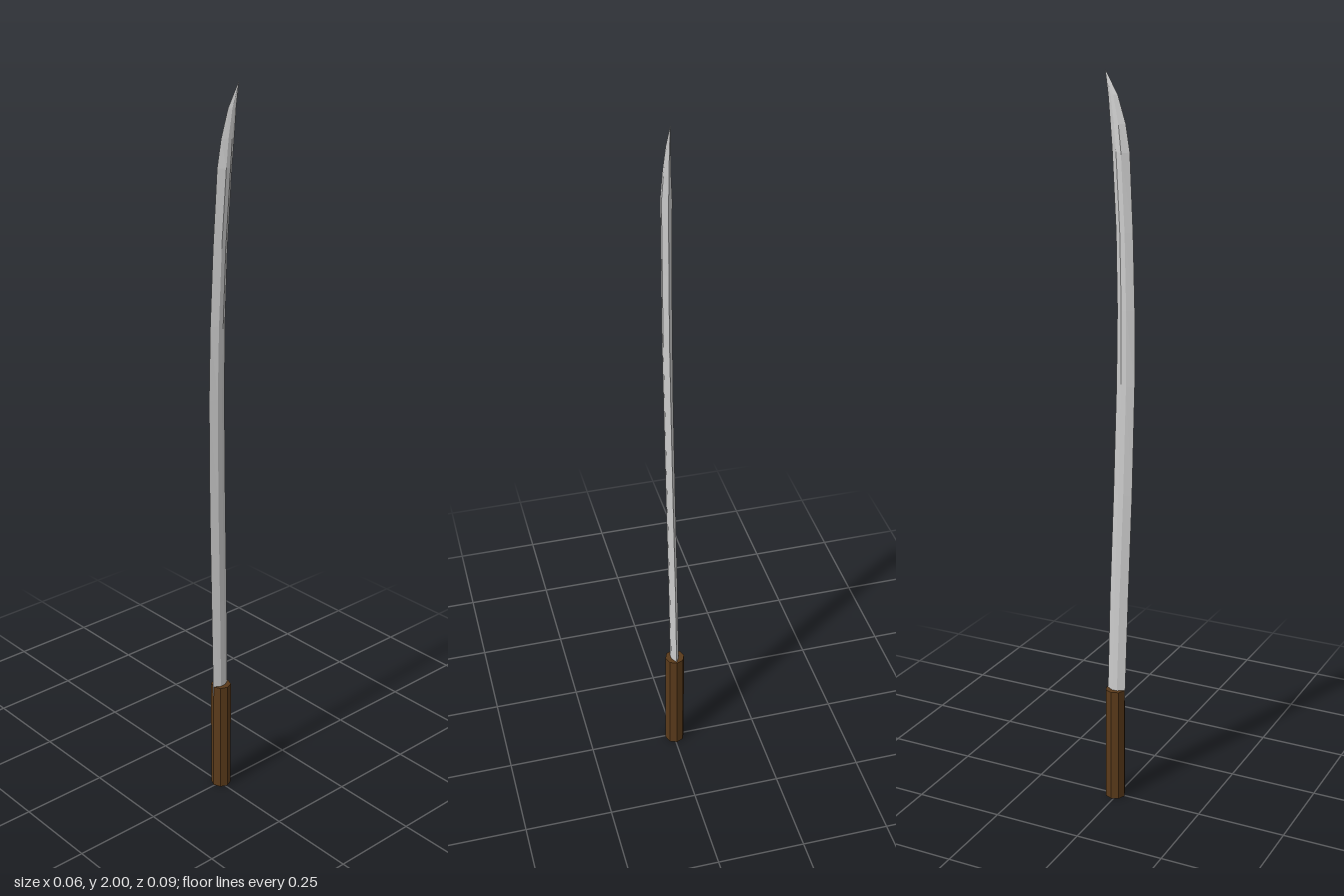
import * as THREE from 'three';

// Blade stations: height, front edge z, back edge z, centre x, half thickness
const STATIONS = [
  [0.30, 0.023, -0.030, -0.003, 0.011],
  [0.60, 0.031, -0.024, 0.000, 0.011],
  [0.90, 0.040, -0.015, 0.004, 0.011],
  [1.20, 0.045, -0.008, 0.008, 0.011],
  [1.40, 0.043, -0.007, 0.011, 0.012],
  [1.60, 0.036, -0.012, 0.014, 0.012],
  [1.80, 0.025, -0.024, 0.017, 0.013],
  [1.87, 0.013, -0.030, 0.018, 0.009],
  [1.94, -0.009, -0.036, 0.018, 0.005],
  [2.00, -0.043, -0.044, 0.018, 0.0005],
];

// Flattened hexagon: sharp edge, two ridges per side, narrow back
const SECTION = [[0, 0], [1, 0.38], [1, 0.66], [0, 1], [-1, 0.66], [-1, 0.38]];

function loft(rings) {
  const n = rings[0].length, index = [];
  for (let r = 0; r < rings.length - 1; r++) {
    for (let i = 0; i < n; i++) {
      const a = r * n + i, b = r * n + (i + 1) % n;
      index.push(a, b, a + n, b, b + n, a + n);
    }
  }
  // End caps
  const last = (rings.length - 1) * n;
  for (let i = 1; i < n - 1; i++) {
    index.push(0, i + 1, i, last, last + i, last + i + 1);
  }
  const geometry = new THREE.BufferGeometry();
  geometry.setAttribute('position', new THREE.Float32BufferAttribute(rings.flat(2), 3));
  geometry.setIndex(index);
  geometry.computeVertexNormals();
  return geometry;
}

export function createModel() {
  const group = new THREE.Group();
  group.name = 'sword';

  // Octagonal wooden handle
  const handle = new THREE.Mesh(
    new THREE.CylinderGeometry(0.028, 0.028, 0.33, 8),
    new THREE.MeshStandardMaterial({ color: 0x5a3a1a, flatShading: true })
  );
  handle.name = 'handle';
  handle.position.set(-0.003, 0.165, -0.006);
  group.add(handle);

  // Curved blade, lofted from the handle to the point
  const rings = STATIONS.map(([y, front, back, cx, half]) =>
    SECTION.map(([side, t]) => [cx + side * half, y, front + (back - front) * t]));
  const blade = new THREE.Mesh(
    loft(rings),
    new THREE.MeshStandardMaterial({ color: 0xcccccc, flatShading: true })
  );
  blade.name = 'blade';
  group.add(blade);

  return group;
}
